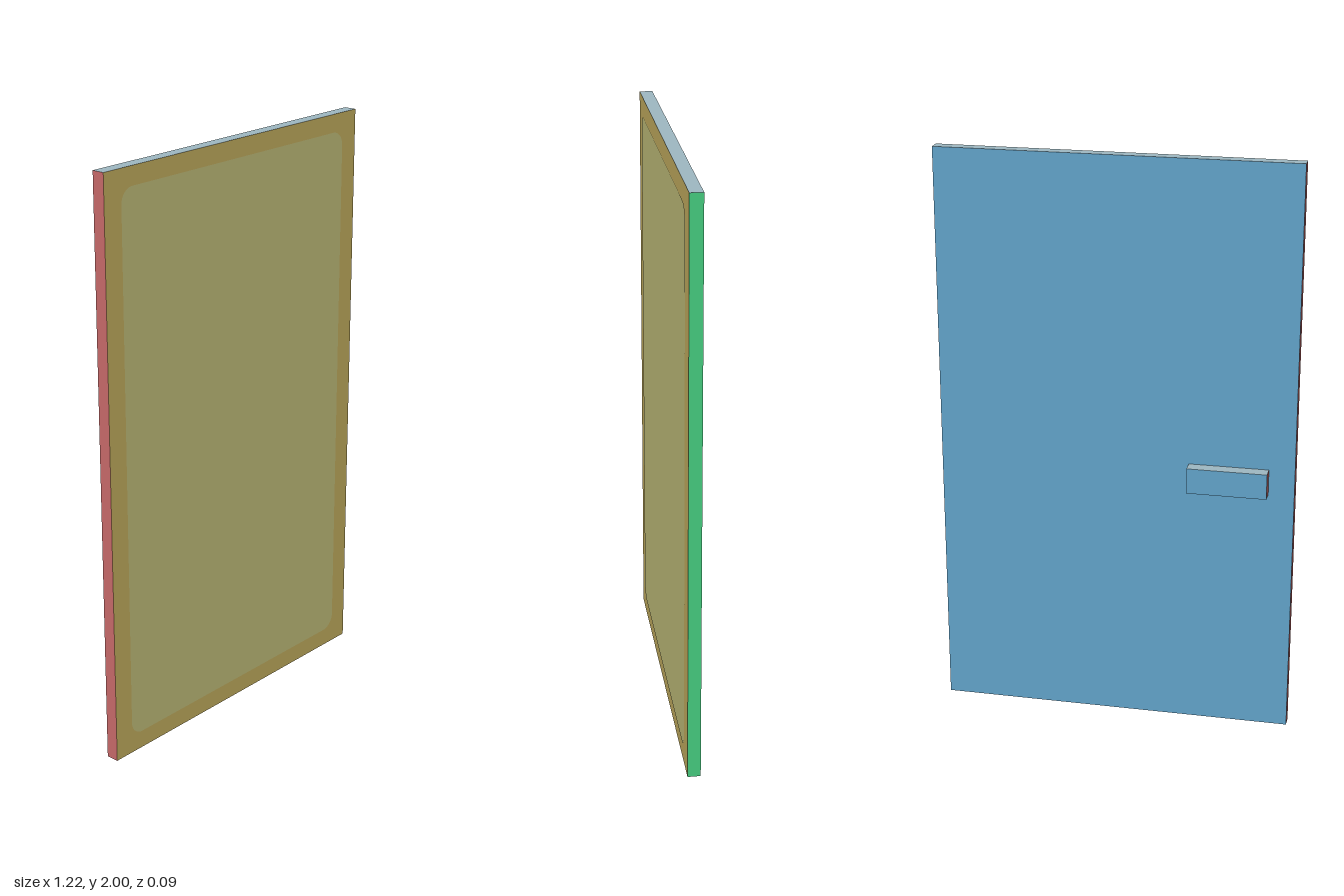
import * as THREE from 'three';

const paint = (name, color) => {
  const m = new THREE.MeshStandardMaterial({ color });
  m.name = name;
  return m;
};

// Box given by its limits on each axis, one material per side
function block(name, [x0, x1], [y0, y1], [z0, z1], materials) {
  const geometry = new THREE.BoxGeometry(x1 - x0, y1 - y0, z1 - z0);
  const mesh = new THREE.Mesh(geometry, materials);
  mesh.position.set((x0 + x1) / 2, (y0 + y1) / 2, (z0 + z1) / 2);
  mesh.name = name;
  return mesh;
}

// Rectangle outline with rounded corners
function roundedRect(x0, y0, x1, y1, r) {
  const s = new THREE.Shape();
  s.absarc(x1 - r, y0 + r, r, -Math.PI / 2, 0);
  s.absarc(x1 - r, y1 - r, r, 0, Math.PI / 2);
  s.absarc(x0 + r, y1 - r, r, Math.PI / 2, Math.PI);
  s.absarc(x0 + r, y0 + r, r, Math.PI, Math.PI * 1.5);
  s.closePath();
  return s;
}

export function createModel() {
  const model = new THREE.Group();
  model.name = 'door';

  // Side colours in box order: +x, -x, +y, -y, +z, -z
  const sides = [
    paint('green', 0x46cc80),
    paint('red', 0xc86a6a),
    paint('pale blue grey', 0x9fb9c3),
    paint('dark slate', 0x3f4854),
    paint('ochre', 0xc9b362),
    paint('blue', 0x61a3c9),
  ];

  // Door slab and the handle bar on its back
  model.add(block('doorSlab', [-0.612, 0.612], [0, 2], [0, 0.044], sides));
  model.add(block('handle', [-0.524, -0.252], [0.868, 0.957], [-0.046, 0], sides));

  // Rounded inset panel on the front
  const panel = new THREE.Mesh(
    new THREE.ShapeGeometry(roundedRect(-0.54, 0.063, 0.54, 1.938, 0.05), 8),
    paint('pale olive', 0xc7c47e)
  );
  panel.name = 'frontPanel';
  panel.position.z = 0.046;
  model.add(panel);

  return model;
}
